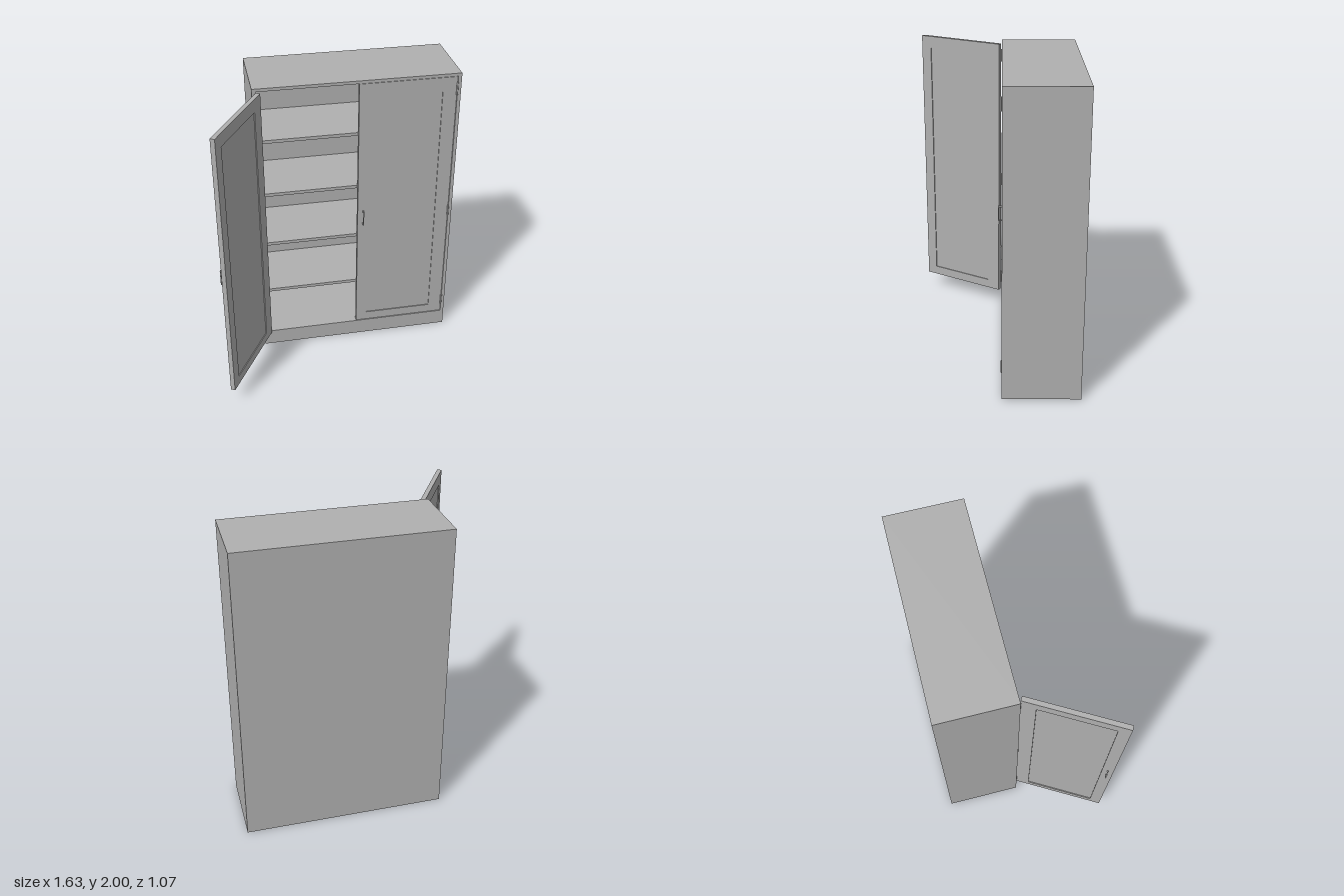
import * as THREE from 'three';

const steel = new THREE.MeshStandardMaterial({ color: 0xb0b0b0 });
steel.name = 'grey steel';
const grime = new THREE.MeshStandardMaterial({ color: 0x625850, side: THREE.DoubleSide });
grime.name = 'brown grime';

// Box given by its min and max corners
function box(name, [x0, y0, z0], [x1, y1, z1], material = steel) {
  const mesh = new THREE.Mesh(new THREE.BoxGeometry(x1 - x0, y1 - y0, z1 - z0), material);
  mesh.name = name;
  mesh.position.set((x0 + x1) / 2, (y0 + y1) / 2, (z0 + z1) / 2);
  return mesh;
}

const L = -0.52, R = 0.81, BACK = -0.535, FRONT = -0.035;  // outer case
const IL = -0.495, IR = 0.787, IB = -0.525;                // inside walls
const FLOOR = 0.113, CEIL = 1.98;
const DOOR_W = 0.636, DOOR_T = 0.03;
const HINGES = [0.22, 0.995, 1.895];
const SHELVES = [0.45, 0.84, 1.225, 1.616];

// Door hinged at x = 0, reaching toward side * x, outer face at z = 0
function makeDoor(name, side) {
  const door = new THREE.Group();
  door.name = name;
  const y0 = FLOOR + 0.004, y1 = CEIL - 0.003;
  const rect = (Type, a, b, c, d) => {
    const [l, r] = side > 0 ? [a, b] : [-b, -a];
    const p = new Type();
    p.moveTo(l, c);
    p.lineTo(r, c);
    p.lineTo(r, d);
    p.lineTo(l, d);
    p.closePath();
    return p;
  };
  const outline = rect(THREE.Shape, 0.003, DOOR_W, y0, y1);
  outline.holes.push(rect(THREE.Path, 0.095, DOOR_W - 0.073, 0.18, 1.895));
  const frame = new THREE.Mesh(
    new THREE.ExtrudeGeometry(outline, { depth: DOOR_T, bevelEnabled: false }), steel);
  frame.name = 'doorFrame';
  frame.position.z = -DOOR_T;
  door.add(frame);

  // Shallow recessed panel on both faces
  const span = (n, a, b, c, d, z0, z1) =>
    door.add(box(n, [Math.min(a * side, b * side), c, z0], [Math.max(a * side, b * side), d, z1]));
  span('doorPanel', 0.09, DOOR_W - 0.068, 0.175, 1.9, -DOOR_T + 0.006, -0.006);

  // Thin bracket handle near the free edge
  const hx = DOOR_W - 0.036;
  span('handleGrip', hx - 0.004, hx + 0.004, 0.95, 1.055, 0.019, 0.025);
  for (const y of [0.95, 1.047])
    span('handlePost', hx - 0.004, hx + 0.004, y, y + 0.008, -0.001, 0.02);

  // Hinge knuckles
  for (const y of HINGES) {
    const hinge = new THREE.Mesh(new THREE.CylinderGeometry(0.006, 0.006, 0.085, 10), steel);
    hinge.name = 'hinge';
    hinge.position.set(side * 0.002, y, 0.001);
    door.add(hinge);
  }
  return door;
}

// Flat irregular patch drawn in the xy plane
function patch(name, points) {
  const shape = new THREE.Shape(points.map(([x, y]) => new THREE.Vector2(x, y)));
  const mesh = new THREE.Mesh(new THREE.ShapeGeometry(shape), grime);
  mesh.name = name;
  return mesh;
}

export function createModel() {
  const model = new THREE.Group();
  model.name = 'cabinet';

  // Case
  model.add(
    box('backWall', [L, 0, BACK], [R, 2, IB]),
    box('leftWall', [L, 0, IB], [IL, 2, FRONT]),
    box('rightWall', [IR, 0, IB], [R, 2, FRONT]),
    box('plinth', [IL, 0, IB], [IR, FLOOR, FRONT]),
    box('top', [IL, CEIL, IB], [IR, 2, FRONT]),
  );

  // Shelves
  for (const y of SHELVES)
    model.add(box('shelf', [IL, y - 0.011, IB], [IR, y + 0.011, -0.07]));

  // Doors: one closed, one swung open by 120 degrees
  const closed = makeDoor('closedDoor', -1);
  closed.position.set(IR, 0, FRONT - 0.002);
  const open = makeDoor('openDoor', 1);
  open.position.set(IL + 0.001, 0, -0.032);
  open.rotation.y = -Math.PI * 2 / 3;
  model.add(closed, open);

  // Grime gathered in the back corners of each bay: width at bottom and top
  const levels = [FLOOR, ...SHELVES, CEIL];
  const widths = [[0.09, 0.055], [0.035, 0.03], [0.05, 0.025], [0.03, 0.045], [0.045, 0.09]];
  widths.forEach(([wb, wt], i) => {
    const y0 = levels[i] + (i ? 0.011 : 0), y1 = levels[i + 1] - (i < 4 ? 0.011 : 0);
    const points = [[0, y0], [wb, y0], [wb * 0.75, y0 + 0.03], [0.02, y0 + 0.06],
      [0.014, (y0 + y1) / 2], [0.02, y1 - 0.06], [wt * 0.8, y1 - 0.035], [wt, y1], [0, y1]];
    for (const side of [1, -1]) {
      const x = side > 0 ? IL : IR;
      const back = patch('backGrime', points.map(([a, b]) => [side * a, b]));
      back.position.set(x, 0, IB + 0.002);
      const wall = patch('wallGrime', points.map(([a, b]) => [-side * a, b]));
      wall.rotation.y = side * Math.PI / 2;
      wall.position.set(x + side * 0.002, 0, IB);
      model.add(back, wall);
    }
  });

  // Grime lines along the floor and ceiling edges
  const low = patch('backFloorGrime', [[IL, FLOOR], [IR, FLOOR], [IR, 0.135], [0.5, 0.126],
    [0.1, 0.132], [-0.2, 0.126], [-0.4, 0.136], [IL, 0.17]]);
  low.position.z = IB + 0.003;
  const high = patch('backCeilingGrime', [[IL, CEIL], [IL, 1.95], [-0.4, 1.955], [-0.37, 1.968], [-0.25, 1.972], [-0.24, CEIL]]);
  high.position.z = IB + 0.003;
  model.add(low, high);
  for (const side of [1, -1]) {
    const edge = patch('sideFloorGrime', [[0, FLOOR], [0.45, FLOOR], [0.44, 0.128], [0.25, 0.123], [0.1, 0.14], [0, 0.18]]
      .map(([a, b]) => [-side * a, b]));
    edge.rotation.y = side * Math.PI / 2;
    edge.position.set((side > 0 ? IL : IR) + side * 0.003, 0, IB);
    model.add(edge);
  }
  return model;
}
